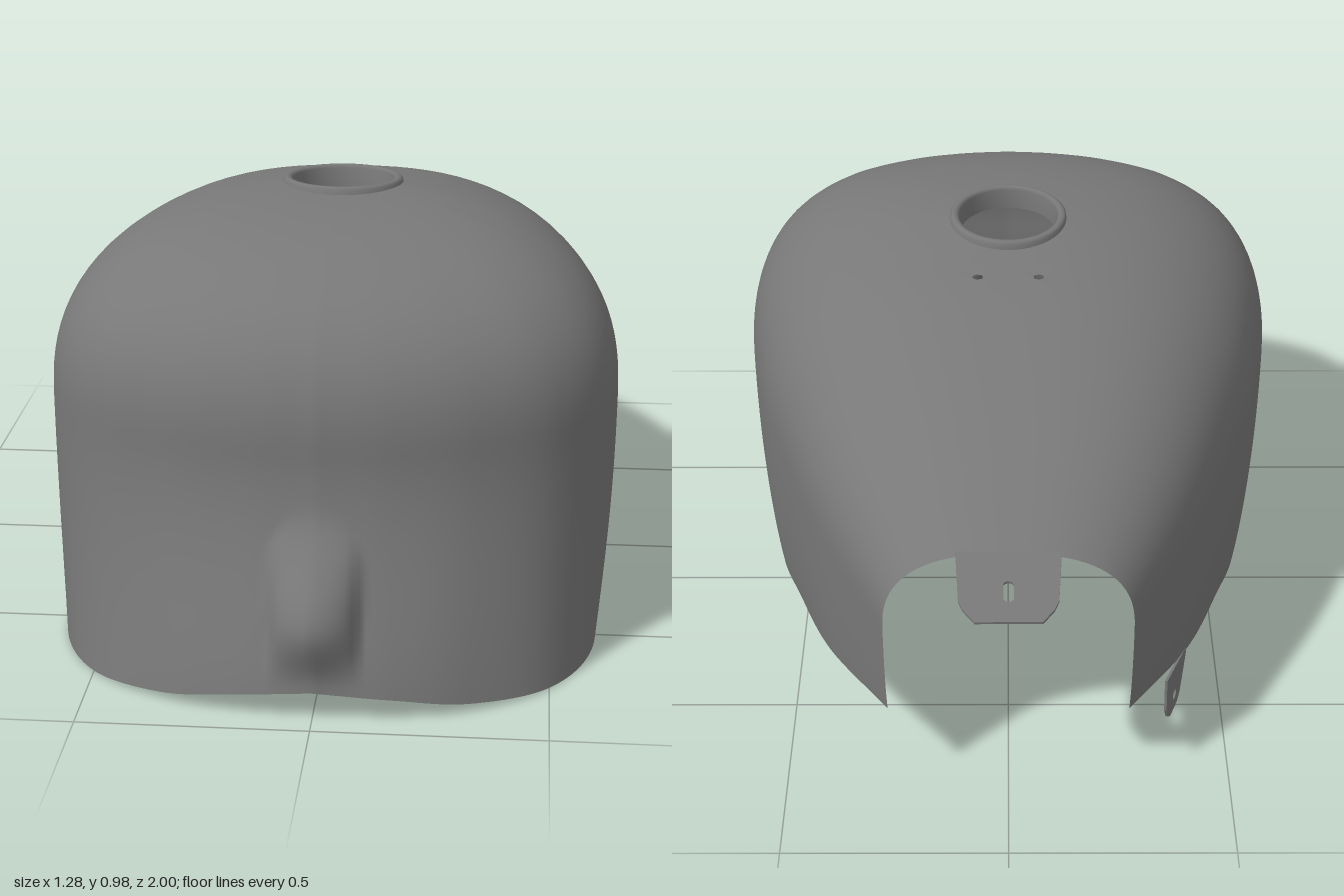
import * as THREE from 'three';
import { mergeVertices } from 'three/addons/utils/BufferGeometryUtils.js';

const paint = new THREE.MeshStandardMaterial({ color: 0x787878, side: THREE.DoubleSide });
paint.name = 'satin grey';

const CAP_Z = 0.145, CAP_R = 0.125, POWER = 2.55;

// Stations from the rear edge to the front centre, for the +x half:
// [spine y, spine z, shoulder x, y, z, bottom rim x, y, z]
const STATIONS = [
  [0.67, -0.81, 0.27, 0.47, -0.81, 0.265, 0.25, -0.81],
  [0.81, -0.5, 0.425, 0.49, -0.5, 0.415, 0.17, -0.5],
  [0.905, -0.2, 0.535, 0.51, -0.2, 0.51, 0.1, -0.2],
  [0.945, 0.0, 0.6, 0.52, 0.02, 0.57, 0.055, 0.02],
  [0.963, 0.1, 0.64, 0.53, 0.3, 0.6, 0.012, 0.32],
  [0.966, 0.145, 0.61, 0.54, 0.53, 0.595, 0.002, 0.58],
  [0.966, 0.145, 0.5, 0.55, 0.69, 0.5, 0.002, 0.77],
  [0.966, 0.145, 0.33, 0.55, 0.785, 0.33, 0.02, 0.89],
  [0.966, 0.145, 0.16, 0.55, 0.83, 0.17, 0.05, 0.945],
  [0.966, 0.145, 0, 0.55, 0.845, 0, 0.07, 0.965],
];

const curve = (pick) => new THREE.CatmullRomCurve3(STATIONS.map(pick), false, 'catmullrom', 0.5);

// Distance fraction along a ray from the spine at which it leaves the filler opening
function openingExit(axis, end) {
  const dx = end.x, dz = end.z - axis.z, oz = axis.z - CAP_Z;
  if (Math.abs(oz) >= CAP_R) return 0;
  const a = dx * dx + dz * dz, b = oz * dz, c = oz * oz - CAP_R * CAP_R;
  return (-b + Math.sqrt(b * b - a * c)) / a;
}

// Raised channel at the nose
function noseBulge(p) {
  if (p.z < 0.6 || p.y > 0.44) return;
  const w = 0.097 * Math.min(1, Math.sqrt((0.44 - p.y) / 0.08));
  const across = Math.max(0, 1 - (p.x / w) ** 2) ** 0.6;
  const rise = THREE.MathUtils.smoothstep(p.y, 0.07, 0.23);
  const fall = 1 - THREE.MathUtils.smoothstep(p.y, 0.23, 0.44);
  p.z += 0.075 * across * rise * fall;
}

function shellGeometry() {
  const spine = curve((s) => new THREE.Vector3(0, s[0], s[1]));
  const shoulder = curve((s) => new THREE.Vector3(s[2], s[3], s[4]));
  const rim = curve((s) => new THREE.Vector3(s[5], s[6], s[7]));
  const U = 12 * (STATIONS.length - 1), CROWN = 24, WALL = 22, ROW = CROWN + WALL + 1;
  const half = [], faces = [];
  let holeColumn = 0, nearest = 1;

  for (let i = 0; i <= U; i++) {
    const t = i / U;
    const A = spine.getPoint(t), S = shoulder.getPoint(t), B = rim.getPoint(t);
    A.z = Math.min(A.z, CAP_Z);
    if (Math.abs(A.z + 0.09) < nearest) { nearest = Math.abs(A.z + 0.09); holeColumn = i; }
    // Crown: a rounded quarter arch from spine to shoulder
    const s0 = openingExit(A, S);
    const start = Math.atan2(s0, (1 - s0 ** POWER) ** (1 / POWER));
    for (let j = 0; j <= CROWN; j++) {
      const q = THREE.MathUtils.lerp(start, Math.PI / 2, j / CROWN);
      const sn = Math.sin(q), cs = Math.max(0, Math.cos(q));
      const k = (sn ** POWER + cs ** POWER) ** (-1 / POWER);
      half.push(new THREE.Vector3(S.x * sn * k, S.y + (A.y - S.y) * cs * k, A.z + (S.z - A.z) * sn * k));
    }
    // Wall: from shoulder down to the rim, flaring forward at the nose
    const drop = S.y - B.y;
    const flare = THREE.MathUtils.lerp(0.2, 0.75, THREE.MathUtils.smoothstep(t, 0.45, 0.85));
    const c1 = S.clone().setY(S.y - drop * 0.35);
    const c2 = S.clone().lerp(B, flare).setY(B.y + drop * 0.3);
    const wall = new THREE.CubicBezierCurve3(S, c1, c2, B);
    for (let j = 1; j <= WALL; j++) {
      const p = wall.getPoint(j / WALL);
      noseBulge(p);
      half.push(p);
    }
  }

  // Grid faces, leaving a window for the small screw hole
  const i0 = holeColumn - 2, i1 = holeColumn + 2, j0 = 1, j1 = 3;
  const at = (i, j) => i * ROW + j;
  for (let i = 0; i < U; i++) for (let j = 0; j < ROW - 1; j++) {
    if (i >= i0 && i < i1 && j >= j0 && j < j1) continue;
    const a = at(i, j), b = at(i + 1, j), c = at(i + 1, j + 1), d = at(i, j + 1);
    faces.push([a, b, d], [b, c, d]);
  }
  // Screw hole: a collar from the window's edge to a small circle
  const loop = [];
  for (let i = i0; i < i1; i++) loop.push(at(i, j0));
  for (let j = j0; j < j1; j++) loop.push(at(i1, j));
  for (let i = i1; i > i0; i--) loop.push(at(i, j1));
  for (let j = j1; j > j0; j--) loop.push(at(i0, j));
  const n = loop.length, base = half.length;
  const holeY = loop.reduce((sum, v) => sum + half[v].y, 0) / n;
  for (const v of loop) {
    const ang = Math.atan2(half[v].z + 0.09, half[v].x - 0.07);
    half.push(new THREE.Vector3(0.07 + 0.012 * Math.cos(ang), holeY, -0.09 + 0.012 * Math.sin(ang)));
  }
  for (let k = 0; k < n; k++) {
    const m = (k + 1) % n;
    faces.push([loop[k], loop[m], base + k], [loop[m], base + m, base + k]);
  }

  // Mirror to both sides and weld the centre line
  const pos = [], index = [], count = half.length;
  for (const side of [1, -1]) for (const p of half) pos.push(p.x * side, p.y, p.z);
  for (const [a, b, c] of faces) index.push(a, b, c, count + a, count + c, count + b);
  let geo = new THREE.BufferGeometry();
  geo.setAttribute('position', new THREE.Float32BufferAttribute(pos, 3));
  geo.setIndex(index);
  geo = mergeVertices(geo, 1e-4);
  geo.computeVertexNormals();
  return geo;
}

// Thin plate from an outline with one slot or round hole
function plate(points, holeX, holeY, r, slot) {
  const shape = new THREE.Shape(points.map(([x, y]) => new THREE.Vector2(x, y)));
  const hole = new THREE.Path();
  hole.absarc(holeX, holeY + slot, r, 0, Math.PI, false);
  hole.absarc(holeX, holeY - slot, r, Math.PI, Math.PI * 2, false);
  hole.closePath();
  shape.holes.push(hole);
  return new THREE.ExtrudeGeometry(shape, { depth: 0.006, bevelEnabled: false, curveSegments: 10 });
}

export function createModel() {
  const group = new THREE.Group();
  group.name = 'fuelTankCover';
  const add = (name, geo) => {
    const mesh = new THREE.Mesh(geo, paint);
    mesh.name = name;
    group.add(mesh);
    return mesh;
  };

  add('tankShell', shellGeometry());

  // Filler neck ring
  const ring = [[0.14, -0.012], [0.138, 0.004], [0.132, 0.01], [0.123, 0.01], [0.116, 0.003], [0.114, -0.045]];
  const neck = add('fillerNeck', new THREE.LatheGeometry(ring.map(([x, y]) => new THREE.Vector2(x, y)), 48));
  neck.position.set(0, 0.962, CAP_Z);
  neck.rotation.x = -0.055;

  // Rear mounting tab with slot
  const rear = add('rearMountTab', plate(
    [[-0.112, -0.01], [0.112, -0.01], [0.104, 0.13], [0.095, 0.155], [0.07, 0.19], [-0.07, 0.19], [-0.095, 0.155], [-0.104, 0.13]],
    0, 0.105, 0.011, 0.018).rotateX(-Math.PI / 2));
  rear.position.set(0, 0.664, -0.812);
  rear.rotation.x = -0.17;

  // Lower side tab, on one side only
  const lower = add('lowerMountTab', plate(
    [[-0.068, 0.09], [-0.064, 0.0], [-0.05, -0.028], [-0.03, -0.042], [0.02, -0.042], [0.042, -0.03], [0.058, 0.0], [0.085, 0.06], [0.085, 0.075]],
    0, 0, 0.013, 0).rotateY(-1.92));
  lower.position.set(-0.378, 0.105, -0.585);

  return group;
}
